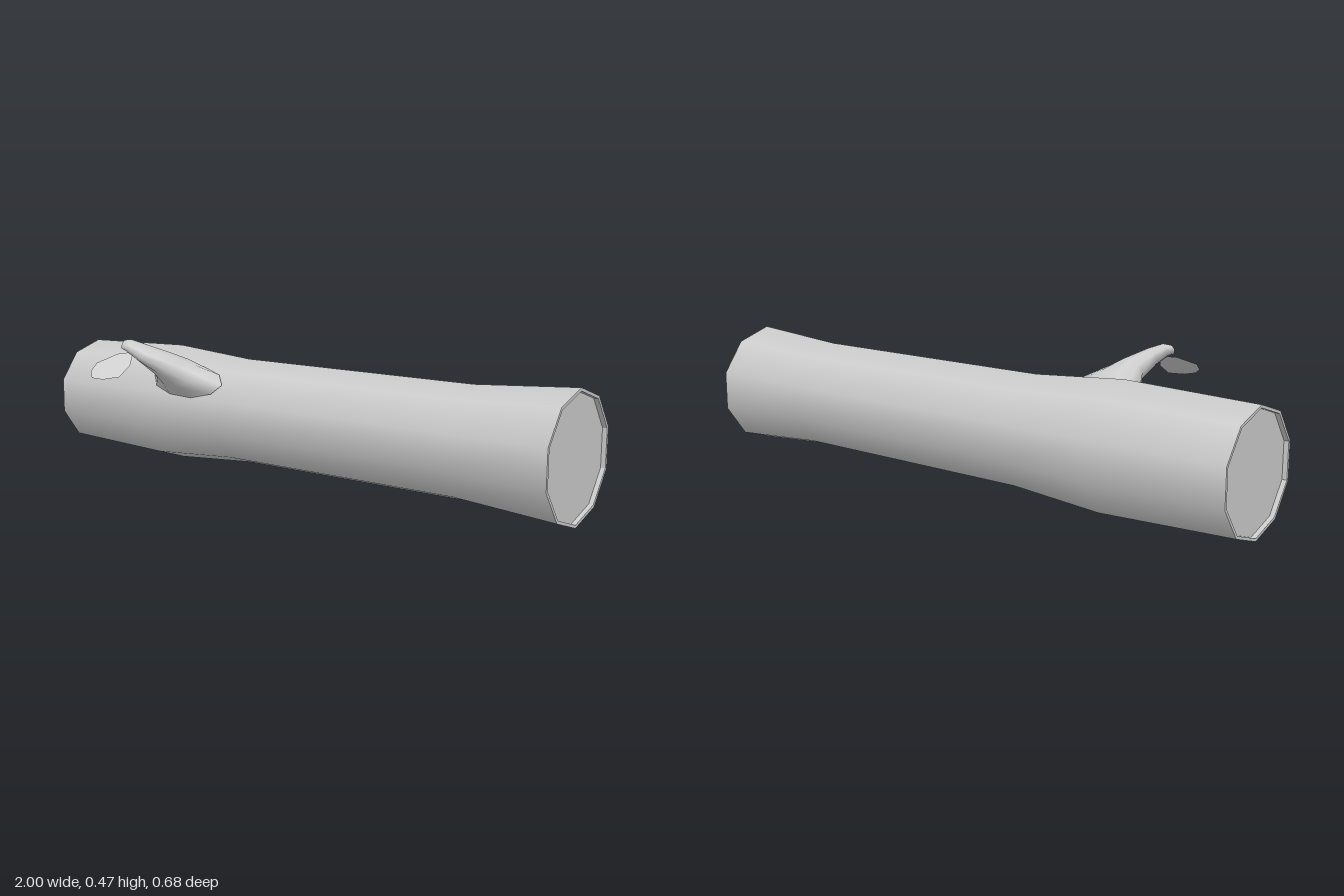
import * as THREE from 'three';

const V = (x, y, z) => new THREE.Vector3(x, y, z);
const SIDES = 10;

// Ten-sided surface of revolution lying along x; profile is [radius, x]
function revolve(name, profile, flatShading) {
  const points = profile.map(([r, x]) => new THREE.Vector2(r, x));
  const geometry = new THREE.LatheGeometry(points, SIDES, Math.PI / 2);
  geometry.rotateZ(-Math.PI / 2);
  geometry.translate(0, 0.21, -0.142);
  const mesh = new THREE.Mesh(geometry, new THREE.MeshStandardMaterial({ color: 0xcccccc, flatShading }));
  mesh.name = name;
  return mesh;
}

function surface(name, points, index, options = {}) {
  const geometry = new THREE.BufferGeometry().setFromPoints(points);
  geometry.setIndex(index);
  geometry.computeVertexNormals();
  const mesh = new THREE.Mesh(geometry, new THREE.MeshStandardMaterial({ color: 0xcccccc, ...options }));
  mesh.name = name;
  return mesh;
}

// Stub of a branch: elliptical rings given by centre and two half axes
function branch() {
  const rings = [
    [V(-0.40, 0.318, 0.004), V(0.16, 0, 0), V(0, 0.052, -0.038)],
    [V(-0.40, 0.355, 0.055), V(0.09, 0, 0), V(0, 0.045, -0.036)],
    [V(-0.42, 0.39, 0.105), V(0.05, 0, 0.005), V(0, 0.038, -0.025)],
    [V(-0.465, 0.43, 0.16), V(0.03, 0, 0.02), V(0, 0.028, -0.018)],
    [V(-0.5, 0.452, 0.182), V(0.018, 0.003, 0.02), V(0, 0.02, -0.013)],
    [V(-0.525, 0.455, 0.184), V(0.006, 0.002, 0.013), V(0, 0.014, -0.009)],
  ];
  const n = 10, points = [], index = [];
  for (const [c, u, v] of rings) {
    for (let i = 0; i < n; i++) {
      const a = (i / n) * Math.PI * 2;
      points.push(c.clone().addScaledVector(u, Math.cos(a)).addScaledVector(v, Math.sin(a)));
    }
  }
  for (let k = 0; k < rings.length - 1; k++) {
    for (let i = 0; i < n; i++) {
      const a = k * n + i, b = k * n + (i + 1) % n;
      index.push(a, b, a + n, b, b + n, a + n);
    }
  }
  // Blunt tip
  const last = (rings.length - 1) * n;
  points.push(V(-0.53, 0.456, 0.185));
  for (let i = 0; i < n; i++) index.push(last + i, last + (i + 1) % n, points.length - 1);
  return surface('branch', points, index);
}

// Thin tilted leaf hanging from the branch tip
function leaf() {
  const outline = [
    V(-0.49, 0.43, 0.19), V(-0.52, 0.425, 0.22), V(-0.555, 0.398, 0.282),
    V(-0.548, 0.375, 0.315), V(-0.52, 0.357, 0.338), V(-0.49, 0.352, 0.318),
    V(-0.455, 0.358, 0.278), V(-0.455, 0.39, 0.225), V(-0.47, 0.42, 0.198),
  ];
  const points = [V(-0.503, 0.384, 0.268), ...outline];
  const index = [];
  for (let i = 0; i < outline.length; i++) index.push(0, 1 + i, 1 + (i + 1) % outline.length);
  return surface('leaf', points, index, { side: THREE.DoubleSide });
}

export function createModel() {
  const group = new THREE.Group();
  group.name = 'log';
  // Bark shell, swollen near the branch and flared at the far end
  group.add(revolve('bark', [
    [0.193, -1], [0.207, -0.56], [0.183, -0.24], [0.183, 0.65], [0.208, 1],
  ], false));
  // Narrow bark rims around slightly recessed cut faces
  group.add(revolve('rightCutEnd', [[0, -0.985], [0.184, -0.985], [0.184, -1], [0.193, -1]], true));
  group.add(revolve('leftCutEnd', [[0.208, 1], [0.198, 1], [0.198, 0.985], [0, 0.985]], true));
  group.add(branch(), leaf());
  return group;
}
